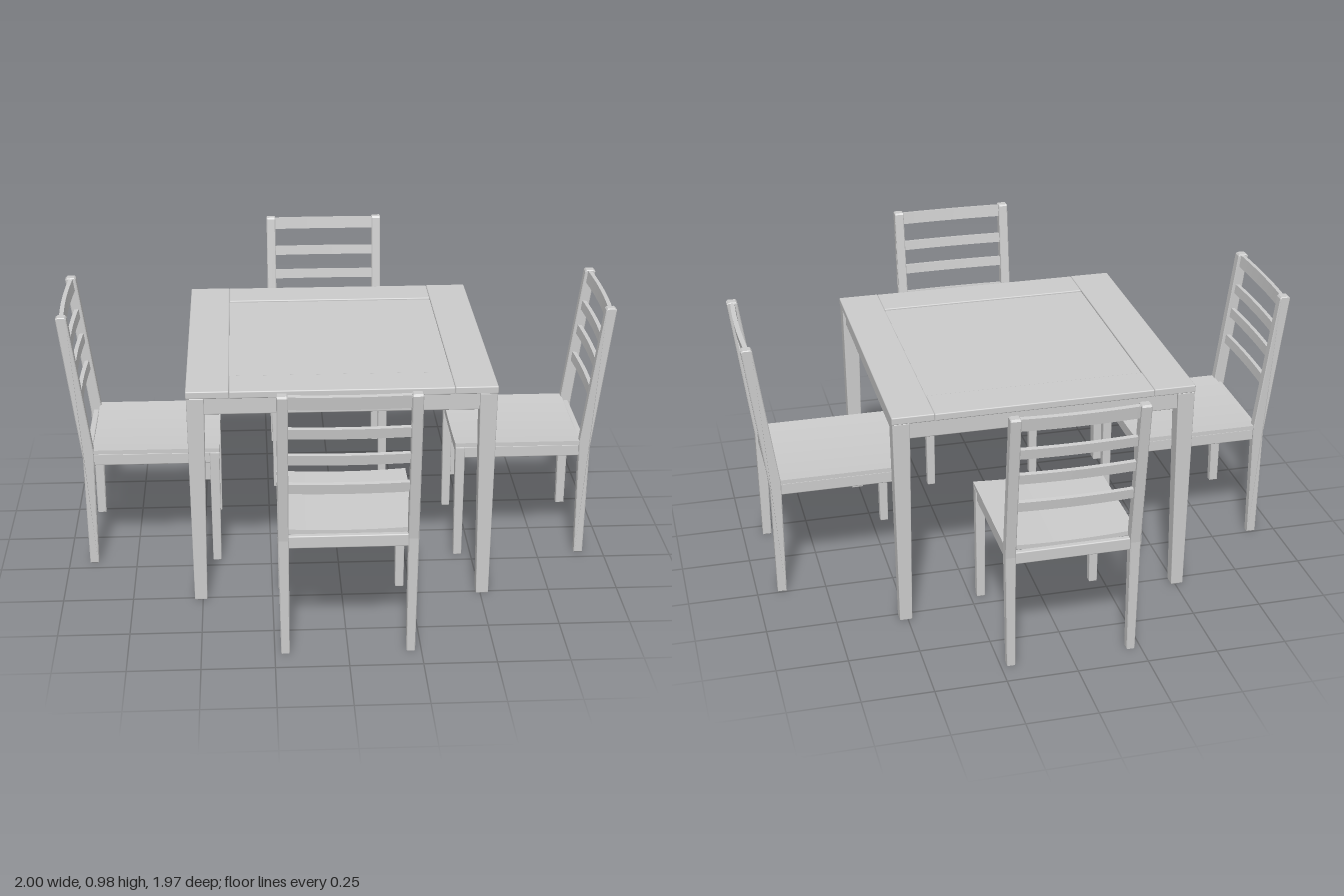
import * as THREE from 'three';
import { RoundedBoxGeometry } from 'three/addons/geometries/RoundedBoxGeometry.js';

const material = new THREE.MeshStandardMaterial({ color: 0xcccccc });

function add(parent, name, geometry, x = 0, y = 0, z = 0) {
  const mesh = new THREE.Mesh(geometry, material);
  mesh.name = name;
  mesh.position.set(x, y, z);
  parent.add(mesh);
  return mesh;
}

const board = (w, h, d, r = 0.004) => new RoundedBoxGeometry(w, h, d, 2, r);

// Move every vertex of a geometry by a rule
function reshape(geometry, rule) {
  const p = geometry.attributes.position;
  const v = new THREE.Vector3();
  for (let i = 0; i < p.count; i++) {
    rule(v.fromBufferAttribute(p, i));
    p.setXYZ(i, v.x, v.y, v.z);
  }
  geometry.computeVertexNormals();
  return geometry;
}

// Square leg standing on y = 0, narrower at the foot
function taperedLeg(width, height, foot) {
  return reshape(board(width, height, width), (v) => {
    const k = THREE.MathUtils.lerp(foot, 1, v.y / height + 0.5);
    v.x *= k;
    v.z *= k;
  }).translate(0, height / 2, 0);
}

// Back leg and leaning back post in one piece, drawn from the side
function backPost(side) {
  const outline = [[0.893, 0], [0.925, 0], [0.93, 0.43], [1, 0.969], [0.993, 0.975],
    [0.966, 0.975], [0.961, 0.969], [0.89, 0.45]];
  const shape = new THREE.Shape(outline.map(([z, y]) => new THREE.Vector2(z, y)));
  const bevel = 0.003;
  const width = 0.036;
  const geometry = new THREE.ExtrudeGeometry(shape, {
    depth: width - 2 * bevel, bevelSize: bevel, bevelOffset: -bevel, bevelThickness: bevel, bevelSegments: 1,
  });
  geometry.translate(0, 0, bevel - width / 2).rotateY(-Math.PI / 2);
  return reshape(geometry, (v) => {
    if (v.y < 0.1) v.x = v.x * 0.82 - side * 0.003;
  });
}

// Chair whose back is towards +z
function createChair() {
  const chair = new THREE.Group();

  for (const side of [-1, 1]) {
    add(chair, 'backPost', backPost(side), side * 0.217);
    add(chair, 'frontLeg', taperedLeg(0.036, 0.442, 0.85), side * 0.212, 0, 0.451);
    add(chair, 'sideRail', board(0.022, 0.045, 0.43), side * 0.214, 0.42, 0.68);
  }
  add(chair, 'frontRail', board(0.4, 0.045, 0.022), 0, 0.42, 0.449);
  add(chair, 'backRail', board(0.41, 0.045, 0.022), 0, 0.42, 0.91);

  // Seat, gently dished across its width
  const seat = reshape(new THREE.BoxGeometry(0.46, 0.016, 0.464, 12, 1, 1), (v) => {
    v.y -= 0.008 * (1 - (v.x / 0.23) ** 2);
  });
  add(chair, 'seat', seat, 0, 0.451, 0.664);

  // Slats follow the lean of the posts and bow slightly backwards
  const lean = Math.atan(0.071 / 0.525);
  [[0.948, 0.046], [0.835, 0.036], [0.737, 0.036], [0.627, 0.036]].forEach(([y, height]) => {
    const geometry = reshape(new THREE.BoxGeometry(0.41, height, 0.016, 12, 1, 1), (v) => {
      v.z += 0.007 * (1 - (v.x / 0.205) ** 2);
    });
    const slat = add(chair, 'backSlat', geometry, 0, y, 0.908 + (y - 0.44) * 0.135);
    slat.rotation.x = lean;
  });
  return chair;
}

function createTable() {
  const table = new THREE.Group();
  table.name = 'table';

  // Frame boards around a slightly recessed panel
  for (const side of [-1, 1]) {
    add(table, 'sideBoard', board(0.15, 0.027, 1.078), side * 0.465, 0.7965);
    add(table, 'endBoard', board(0.78, 0.026, 0.15), 0, 0.796, side * 0.464);
    add(table, 'sideApron', board(0.03, 0.065, 0.98), side * 0.512, 0.7525);
    add(table, 'endApron', board(0.98, 0.065, 0.03), 0, 0.7525, side * 0.512);
    for (const end of [-1, 1]) {
      add(table, 'tableLeg', taperedLeg(0.062, 0.785, 0.72), side * 0.507, 0, end * 0.507);
    }
  }
  add(table, 'centrePanel', new THREE.BoxGeometry(0.79, 0.012, 0.79), 0, 0.796);
  return table;
}

export function createModel() {
  const model = new THREE.Group();
  model.name = 'diningSet';

  const table = createTable();
  table.position.z = -0.015;
  model.add(table);

  // One chair on each side of the table
  [['frontChair', 0, 0, -0.015], ['leftChair', 1, 0, -0.018],
    ['backChair', 2, 0, 0.012], ['rightChair', 3, 0, -0.018]].forEach(([name, turn, x, z]) => {
    const chair = createChair();
    chair.name = name;
    chair.rotation.y = turn * Math.PI / 2;
    chair.position.set(x, 0, z);
    model.add(chair);
  });
  return model;
}
